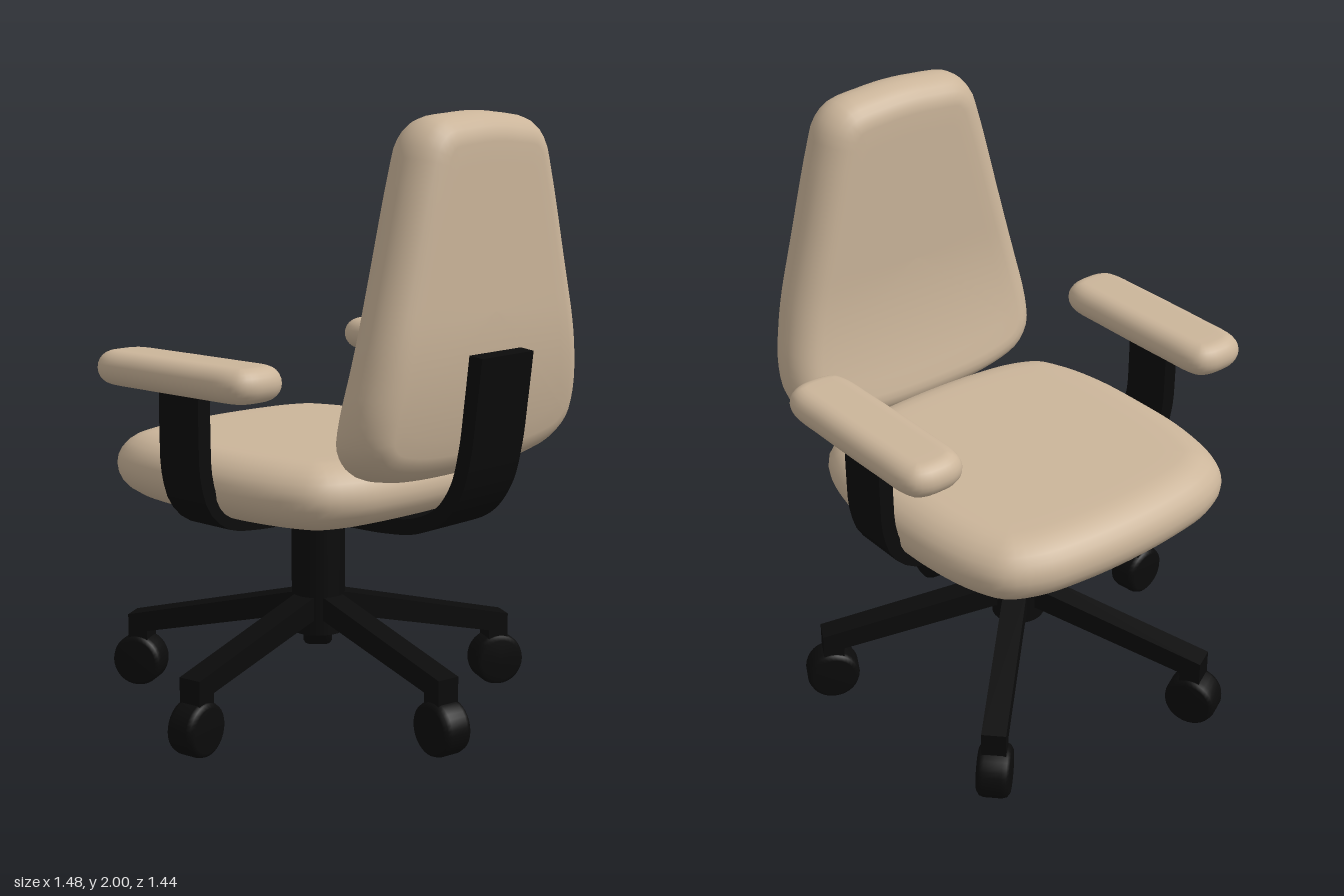
import * as THREE from 'three';

const fabric = new THREE.MeshStandardMaterial({ color: 0xcbb59a });
fabric.name = 'beige fabric';
const plastic = new THREE.MeshStandardMaterial({ color: 0x0b0b0b });
plastic.name = 'black plastic';

const CX = -0.055, CZ = -0.025; // axis of the column

function addMesh(parent, name, geometry, material) {
  const mesh = new THREE.Mesh(geometry, material);
  mesh.name = name;
  parent.add(mesh);
  return mesh;
}

// Completes an outline by mirroring: quarter -> half -> closed loop
const halfFromQuarter = (q) => [...q, ...q.slice(0, -1).reverse().map(([u, v]) => [-u, v])];
const loopFromHalf = (h) => [...h, ...h.slice(1, -1).reverse().map(([u, v]) => [u, -v])];

// Soft pad: a closed outline in (u, v), rounded through its thickness w
function cushion(half, thickness, inset, place) {
  const N = 96, CAP = 8, EDGE = 12, h = thickness / 2;
  const curve = new THREE.CatmullRomCurve3(
    loopFromHalf(half).map(([u, v]) => new THREE.Vector3(u, v, 0)), true, 'centripetal');
  const outline = [];
  for (let i = 0; i < N; i++) {
    const p = curve.getPointAt(i / N), t = curve.getTangentAt(i / N);
    outline.push({ p, nx: t.y, ny: -t.x });
  }
  // each ring: scale towards the middle, inset of the edge, height
  const rings = [];
  for (let k = 0; k < CAP; k++) rings.push([k / CAP, inset, -h]);
  for (let k = 0; k <= EDGE; k++) {
    const a = (k / EDGE - 0.5) * Math.PI;
    rings.push([1, inset * (1 - Math.cos(a)), h * Math.sin(a)]);
  }
  for (let k = CAP - 1; k >= 0; k--) rings.push([k / CAP, inset, h]);

  const positions = [], index = [];
  rings.forEach(([s, d, w], k) => {
    outline.forEach(({ p, nx, ny }, i) => {
      positions.push(...place((p.x - nx * d) * s, (p.y - ny * d) * s, w));
      if (k === rings.length - 1) return;
      const j = (i + 1) % N, a = k * N + i, b = k * N + j;
      index.push(a, b, b + N, a, b + N, a + N);
    });
  });
  const geometry = new THREE.BufferGeometry();
  geometry.setAttribute('position', new THREE.Float32BufferAttribute(positions, 3));
  geometry.setIndex(index);
  geometry.computeVertexNormals();
  return geometry;
}

// Extrudes a flat outline, centred on its own depth
function slab(points, depth) {
  const shape = new THREE.Shape(points.map(([x, y]) => new THREE.Vector2(x, y)));
  return new THREE.ExtrudeGeometry(shape, { depth, bevelEnabled: false }).translate(0, 0, -depth / 2);
}

// Bent flat bar following a curve
function bentBar(path, thickness, width) {
  const curve = new THREE.CatmullRomCurve3(
    path.map(([x, y]) => new THREE.Vector3(x, y, 0)), false, 'centripetal');
  const left = [], right = [], n = 48;
  for (let i = 0; i <= n; i++) {
    const p = curve.getPointAt(i / n), t = curve.getTangentAt(i / n), r = thickness / 2;
    left.push([p.x - t.y * r, p.y + t.x * r]);
    right.push([p.x + t.y * r, p.y - t.x * r]);
  }
  return slab([...right, ...left.reverse()], width);
}

export function createModel() {
  const chair = new THREE.Group();
  chair.name = 'officeChair';

  // Seat cushion
  const seatHalf = halfFromQuarter([[0.5625, 0], [0.552, 0.2], [0.525, 0.35], [0.465, 0.46],
    [0.36, 0.515], [0.2, 0.548], [0, 0.555]]);
  addMesh(chair, 'seat', cushion(seatHalf, 0.215, 0.13, (u, v, w) => [u, w, -v]), fabric)
    .position.set(-0.082, 0.83, CZ);

  // Tapered backrest, curving forward towards its lower edge
  const backHalf = [[2.0, 0], [1.995, 0.1], [1.975, 0.23], [1.92, 0.29], [1.83, 0.323], [1.55, 0.4],
    [1.26, 0.476], [1.1, 0.503], [1.0, 0.492], [0.93, 0.43], [0.89, 0.3], [0.873, 0]]
    .map(([y, z]) => [y - 1.4, z]);
  const bend = (u) => (u < 0 ? -0.32 * u * u : 0);
  addMesh(chair, 'backrest', cushion(backHalf, 0.205, 0.09, (u, v, w) => [w + bend(u), u, v]), fabric)
    .position.set(0.588, 1.4, CZ);

  // Armrest pads
  const padHalf = halfFromQuarter([[0.353, 0], [0.348, 0.05], [0.325, 0.09], [0.28, 0.108],
    [0.15, 0.112], [0, 0.113]]);
  for (const side of [1, -1]) {
    addMesh(chair, side > 0 ? 'leftArmrest' : 'rightArmrest',
      cushion(padHalf, 0.11, 0.055, (u, v, w) => [u, w, -v]), fabric)
      .position.set(-0.068, 1.19, CZ - 0.005 + side * 0.578);
  }

  // U-shaped bracket carrying both armrests
  const armHalf = [[0.598, 1.17], [0.598, 1.0], [0.592, 0.88], [0.56, 0.785], [0.49, 0.725],
    [0.38, 0.705], [0.15, 0.695]];
  const armPath = [...armHalf.map(([z, y]) => [-z, y]), ...[...armHalf].reverse()];
  addMesh(chair, 'armrestBracket', bentBar(armPath, 0.05, 0.18).rotateY(-Math.PI / 2), plastic)
    .position.set(CX, 0, CZ);

  // Bent bar carrying the backrest
  const backPath = [[0.19, 0.697], [0.35, 0.702], [0.48, 0.72], [0.58, 0.77], [0.645, 0.86],
    [0.678, 0.98], [0.697, 1.12], [0.715, 1.275]];
  addMesh(chair, 'backrestBracket', bentBar(backPath, 0.05, 0.25), plastic).position.z = CZ;

  // Column
  addMesh(chair, 'column', new THREE.CylinderGeometry(0.09, 0.09, 0.445, 32), plastic)
    .position.set(CX, 0.4775, CZ);

  // Five-legged base with a caster under each end
  const legProfile = [[0, 0.31], [0.09, 0.305], [0.615, 0.2], [0.615, 0.15], [0.685, 0.15],
    [0.685, 0.255], [0.09, 0.385], [0, 0.39]];
  const wheelProfile = [[0, -0.054], [0.072, -0.054], [0.085, -0.045], [0.09, -0.03],
    [0.09, 0.03], [0.085, 0.045], [0.072, 0.054], [0, 0.054]].map(([r, y]) => new THREE.Vector2(r, y));
  const legGeometry = slab(legProfile, 0.08);
  const wheelGeometry = new THREE.LatheGeometry(wheelProfile, 32).rotateX(Math.PI / 2);
  for (let i = 0; i < 5; i++) {
    const arm = new THREE.Group();
    arm.name = 'baseArm' + (i + 1);
    arm.position.set(CX, 0, CZ);
    arm.rotation.y = -THREE.MathUtils.degToRad(10 + i * 72);
    addMesh(arm, 'leg', legGeometry, plastic);
    addMesh(arm, 'caster', wheelGeometry, plastic).position.set(0.655, 0.09, 0);
    chair.add(arm);
  }
  return chair;
}
